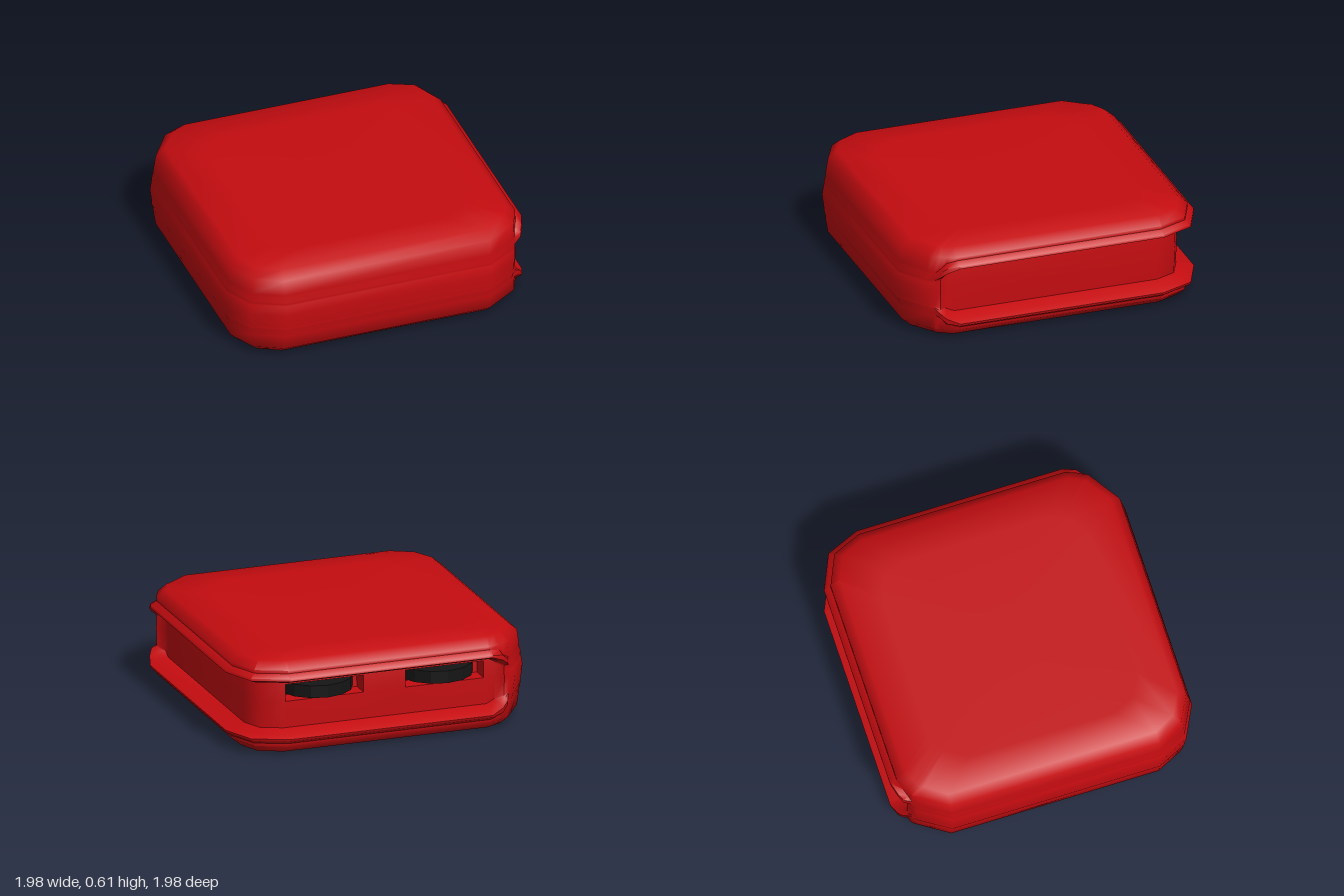
import * as THREE from 'three';
import { toCreasedNormals } from 'three/addons/utils/BufferGeometryUtils.js';

const MID = 0.31; // height of the middle of the case

// A section of the case wall: plan point, lip outset, outer and inner half
// height of the groove, groove depth, wheel slot depth, side bulge.
const section = (x, z, lip, outer, inner, depth, slot = 0, bulge = 0.01) =>
  ({ x, z, lip, outer, inner, depth, slot, bulge });
const plain = (x, z) => section(x, z, 0, 0.15, 0.09, 0, 0, 0.04);
const groove = (x, z, slot = 0) => section(x, z, 0.04, 0.23, 0.17, 0.08, slot);

// Heights and outsets of one section, from top to bottom
function profile(s) {
  const side = (dy) => -s.bulge * Math.min(1, Math.abs(dy) / 0.25);
  const t = Math.min(1, s.inner / 0.17);
  const upper = [
    [-0.06 - s.bulge, 0.3],
    [-s.bulge, 0.25],
    [side(s.outer), s.outer],
    [s.lip + side(s.outer), s.outer - 0.025 * t],
    [s.lip + side(s.inner), s.inner + 0.02 * t],
    [s.lip * 0.3 - s.depth * 0.2 + side(s.inner), s.inner],
    [-s.depth + side(s.inner), s.inner - 0.02 * t],
  ];
  const [a, b] = [0.135 * t, 0.025 * t];
  const slotRows = [
    [-s.depth + side(a), a], [-s.depth - s.slot + side(a), a],
    [-s.depth - s.slot + side(b), b], [-s.depth + side(b), b],
  ];
  const lower = upper.map(([d, y]) => [d, -y]).reverse();
  return [...upper, ...slotRows, ...lower];
}

// Sections around the case, counter-clockwise from above
function caseSections() {
  const half = [
    plain(-0.69, 0.995), plain(0.67, 0.995), plain(0.87, 0.87),
    section(0.89, 0.82, 0, 0.15, 0.09, 0),
    section(0.905, 0.785, 0.035, 0.17, 0.11, 0),
    section(0.925, 0.75, 0.04, 0.21, 0.14, 0.06),
    groove(0.95, 0.68), groove(0.95, -0.67),
  ];
  // The other half is mirrored about the diagonal
  const mirrored = half.map((s) => ({ ...s, x: -s.z, z: -s.x })).reverse();
  const slots = [];
  for (const [x0, x1] of [[0.66, 0.14], [-0.14, -0.66]]) {
    slots.push(groove(x0, -0.95), groove(x0, -0.95, 0.12), groove(x1, -0.95, 0.12), groove(x1, -0.95));
  }
  return [
    plain(-0.9, 0.89), ...half, groove(0.87, -0.86),
    mirrored[0], ...slots, ...mirrored.slice(1),
  ];
}

function caseGeometry() {
  const rings = caseSections().map((s) => {
    // Outward direction, turning smoothly round the corners
    const lim = (v) => THREE.MathUtils.clamp(v, -0.69, 0.69);
    const n = new THREE.Vector2(s.x - lim(s.x), s.z - lim(s.z)).normalize();
    const wall = profile(s).map(([d, y]) =>
      new THREE.Vector3(s.x + n.x * d, MID + y, s.z + n.y * d));
    const flat = (y) => new THREE.Vector3(s.x * 0.7, y, s.z * 0.7);
    return [flat(0.616), ...wall, flat(0.004)];
  });
  const pos = [];
  const tri = (a, b, c) => {
    if (new THREE.Triangle(a, b, c).getArea() < 1e-7) return;
    for (const p of [a, b, c]) pos.push(p.x, p.y, p.z);
  };
  const top = new THREE.Vector3(0, 0.616, 0);
  const bottom = new THREE.Vector3(0, 0.004, 0);
  rings.forEach((ring, i) => {
    const next = rings[(i + 1) % rings.length];
    const last = ring.length - 1;
    for (let j = 0; j < last; j++) {
      tri(ring[j], ring[j + 1], next[j]);
      tri(next[j], ring[j + 1], next[j + 1]);
    }
    tri(top, ring[0], next[0]);
    tri(bottom, next[last], ring[last]);
  });
  const geo = new THREE.BufferGeometry();
  geo.setAttribute('position', new THREE.Float32BufferAttribute(pos, 3));
  return toCreasedNormals(geo, 0.9);
}

export function createModel() {
  const model = new THREE.Group();
  model.name = 'groovedCase';

  // Rounded case with a groove along the left and back sides
  const red = new THREE.MeshStandardMaterial({ color: 0xc40c10, side: THREE.DoubleSide });
  const body = new THREE.Mesh(caseGeometry(), red);
  body.name = 'case';
  model.add(body);

  // Two thumb wheels set in the slots of the back groove
  const black = new THREE.MeshStandardMaterial({ color: 0x151515, flatShading: true });
  for (const side of [1, -1]) {
    const wheel = new THREE.Mesh(new THREE.CylinderGeometry(0.24, 0.24, 0.08, 14), black);
    wheel.name = side > 0 ? 'leftWheel' : 'rightWheel';
    wheel.position.set(side * 0.4, 0.39, -0.69);
    model.add(wheel);
  }
  return model;
}
